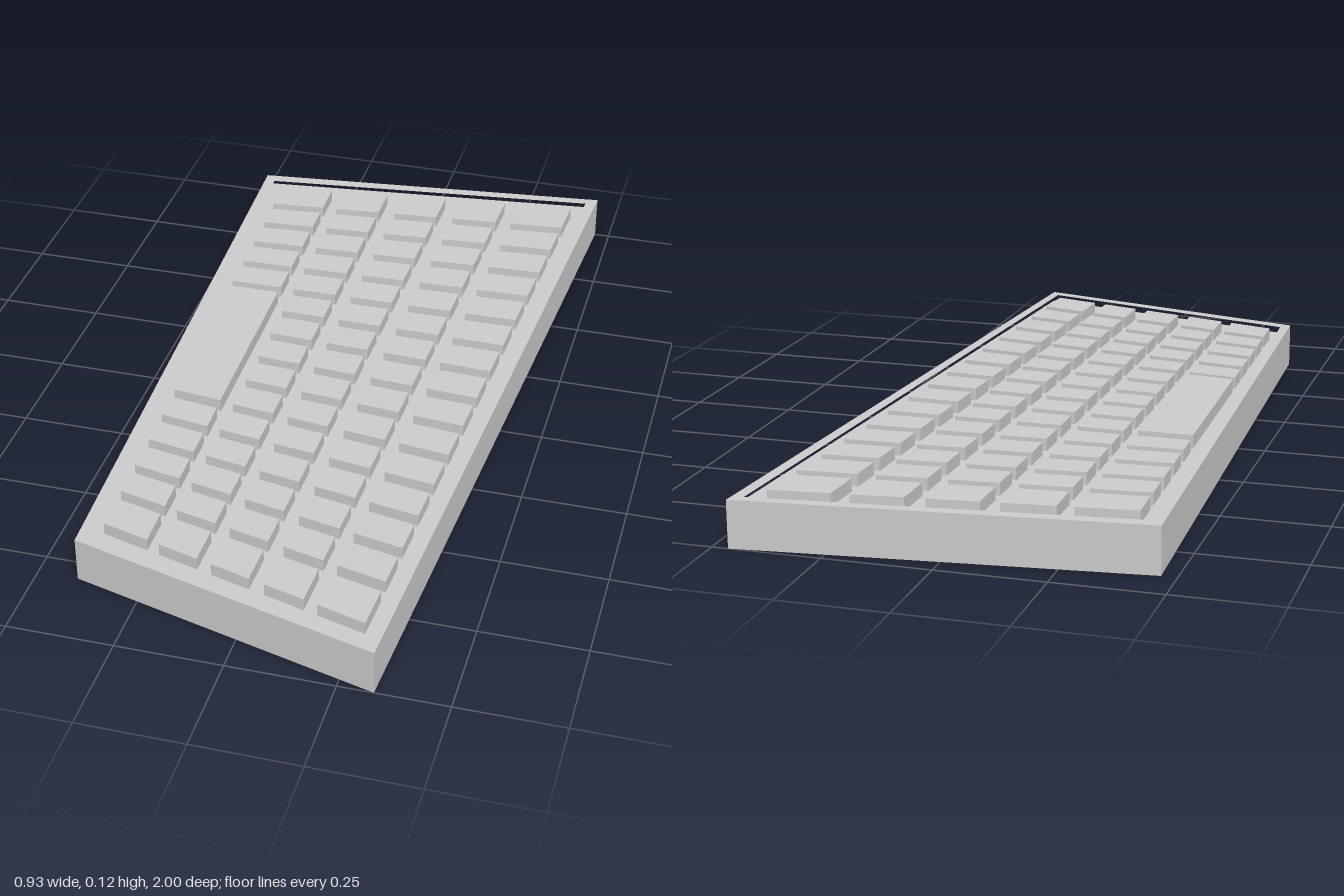
import * as THREE from 'three';

// Corner order of every outline: back right, back left, front left, front right, as [x, z]
const OUTER = [[-0.465, -0.9], [0.462, -1.0], [0.332, 1.0], [-0.405, 0.805]];
const INNER = [[-0.437, -0.873], [0.433, -0.972], [0.311, 0.966], [-0.382, 0.778]];
const KEYS = [[-0.403, -0.835], [0.4, -0.927], [0.291, 0.917], [-0.361, 0.737]];
const FLOOR = 0.085, RIM_TOP = 0.11, KEY_TOP = 0.115, BAR_TOP = 0.118;

const material = new THREE.MeshStandardMaterial({ color: 0xcccccc, flatShading: true });

const toPoints = (corners) => corners.map(([x, z]) => new THREE.Vector2(x, -z));

// Upright prism over a floor outline, with an optional hole
function prism(name, corners, y0, y1, hole) {
  const shape = new THREE.Shape(toPoints(corners));
  if (hole) shape.holes.push(new THREE.Path(toPoints(hole)));
  const geometry = new THREE.ExtrudeGeometry(shape, { depth: y1 - y0, bevelEnabled: false });
  geometry.rotateX(-Math.PI / 2).translate(0, y0, 0);
  const mesh = new THREE.Mesh(geometry, material);
  mesh.name = name;
  return mesh;
}

// Point of the skewed key field at u across the columns and v along the rows
function fieldPoint(u, v) {
  const [a, b, c, d] = KEYS;
  return [0, 1].map((i) =>
    (1 - v) * ((1 - u) * a[i] + u * b[i]) + v * ((1 - u) * d[i] + u * c[i]));
}

function key(name, [u0, u1], [v0, v1], top) {
  const corners = [[u0, v0], [u1, v0], [u1, v1], [u0, v1]].map(([u, v]) => fieldPoint(u, v));
  return prism(name, corners, FLOOR, top);
}

export function createModel() {
  const model = new THREE.Group();
  model.name = 'keyboard';

  // Case: solid base and raised rim around the recessed key bed
  model.add(prism('caseBase', OUTER, 0, FLOOR));
  model.add(prism('caseRim', OUTER, FLOOR, RIM_TOP, INNER));

  // Key grid: five columns by fifteen rows, with longer keys at both ends
  const columns = [[0, 0.174], [0.22, 0.369], [0.423, 0.569], [0.626, 0.774], [0.825, 1]];
  const rows = [[0, 0.06]];
  for (let i = 0; i < 13; i++) {
    const start = 0.078 + i * 0.0663;
    rows.push([start, start + 0.0483]);
  }
  rows.push([0.94, 1]);

  const keys = new THREE.Group();
  keys.name = 'keys';
  columns.forEach((column, c) => rows.forEach((row, r) => {
    if (c === 0 && r >= 5 && r <= 9) return; // taken by the space bar
    keys.add(key('key', column, row, KEY_TOP));
  }));
  keys.add(key('spaceBar', columns[0], [rows[5][0], rows[9][1]], BAR_TOP));
  model.add(keys);

  return model;
}
